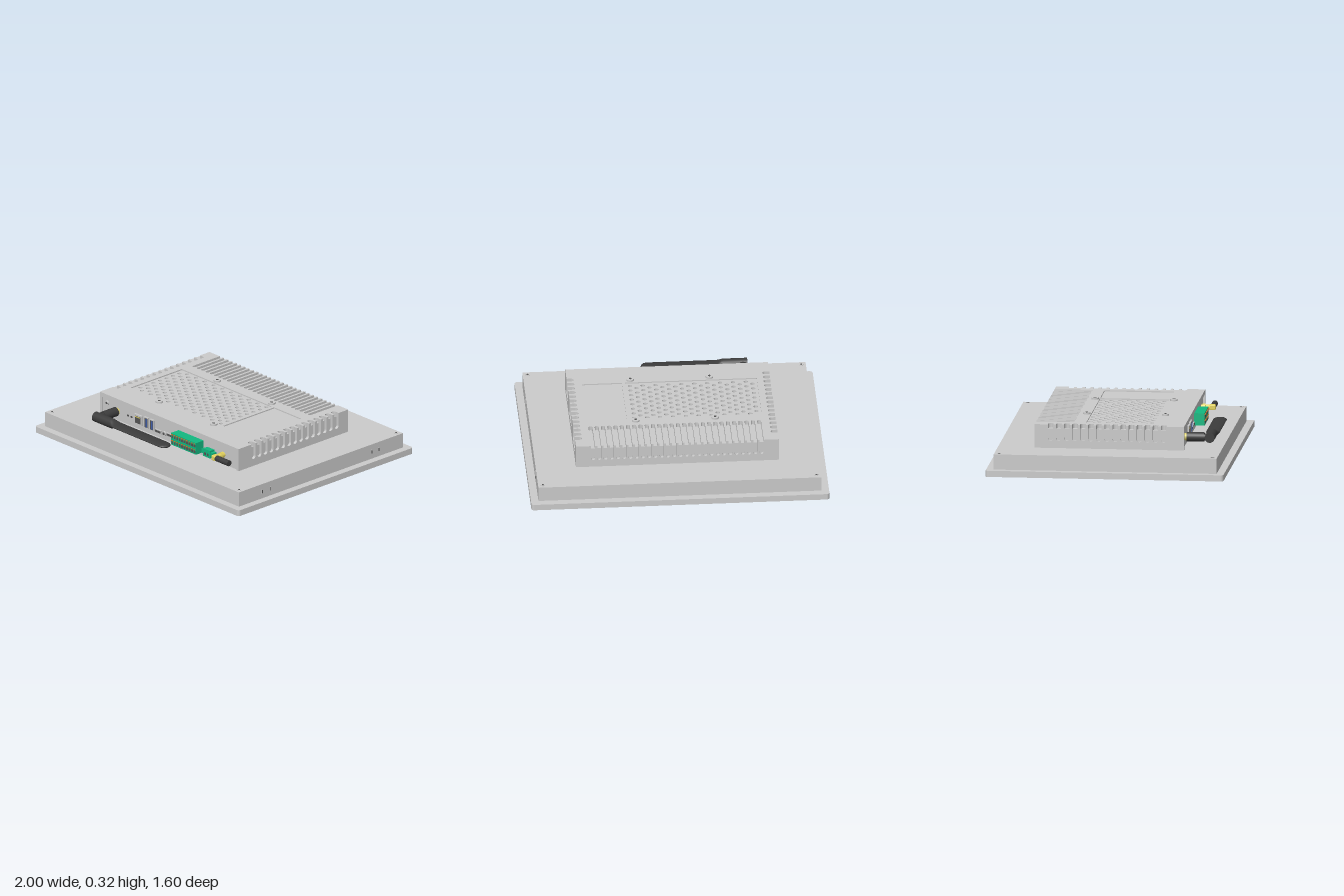
import * as THREE from 'three';
import { RoundedBoxGeometry } from 'three/addons/geometries/RoundedBoxGeometry.js';

const mat = (color) => new THREE.MeshStandardMaterial({ color });
const GREY = mat(0xcccccc), DARK = mat(0x3c3c3c), GREEN = mat(0x12b880);
const GOLD = mat(0xe6d560), BLUE = mat(0x4060b0), BLACK = mat(0x555555), ORANGE = mat(0xc07830);
const W = 0.68, D = 0.502;            // half width and half depth of the rear housing
const Y0 = 0.145, Y1 = 0.305;         // housing bottom and top
const TOP = 0.03, WALL = 0.02;        // thickness of the housing shell
const backSlots = Array.from({ length: 28 }, (_, i) => -0.5655 + i * 0.0419);
const sideSlots = Array.from({ length: 15 }, (_, i) => -0.396 + i * 0.0543);

export function createModel() {
  const model = new THREE.Group();

  const add = (name, geo, material, x = 0, y = 0, z = 0) => {
    const mesh = new THREE.Mesh(geo, material);
    mesh.name = name;
    mesh.position.set(x, y, z);
    model.add(mesh);
    return mesh;
  };
  // box given by its extents
  const box = (name, m, x0, x1, y0, y1, z0, z1) =>
    add(name, new THREE.BoxGeometry(x1 - x0, y1 - y0, z1 - z0), m, (x0 + x1) / 2, (y0 + y1) / 2, (z0 + z1) / 2);
  // cylinder along an axis, centred at x, y, z
  const rod = (name, m, axis, r, len, x, y, z, sides = 24) => {
    const g = new THREE.CylinderGeometry(r, r, len, sides);
    if (axis === 'x') g.rotateZ(Math.PI / 2);
    if (axis === 'z') g.rotateX(Math.PI / 2);
    return add(name, g, m, x, y, z);
  };
  const extrude = (shape, depth) =>
    new THREE.ExtrudeGeometry(shape, { depth, bevelEnabled: false, curveSegments: 7 });
  // horizontal plate from an x/z outline, with its upper face at y
  const plate = (name, shape, thick, y, m = GREY) =>
    add(name, extrude(shape, thick).rotateX(Math.PI / 2), m, 0, y, 0);
  const rectPath = (x0, x1, y0, y1) => new THREE.Path([[x0, y0], [x0, y1], [x1, y1], [x1, y0]].map((p) => new THREE.Vector2(...p)));
  const ring = (x, y, r) => new THREE.Path().absarc(x, y, r, 0, Math.PI * 2, true);
  // round-ended notch cut inward from an outline edge that runs along (dx, dy)
  const notch = (pts, px, py, dx, dy, depth, w) => {
    const put = (a, n) => pts.push(new THREE.Vector2(px + dx * a - dy * n, py + dy * a + dx * n));
    put(-w, 0);
    for (let k = 0; k <= 8; k++) {
      const a = (k / 8) * Math.PI;
      put(-w * Math.cos(a), depth - w + w * Math.sin(a));
    }
    put(w, 0);
  };

  // front bezel with rounded corners, and screen face
  const b = new THREE.Shape(), r = 0.02;
  b.absarc(1 - r, 0.8 - r, r, 0, Math.PI / 2);
  b.absarc(-1 + r, 0.8 - r, r, Math.PI / 2, Math.PI);
  b.absarc(-1 + r, -0.8 + r, r, Math.PI, Math.PI * 1.5);
  b.absarc(1 - r, -0.8 + r, r, Math.PI * 1.5, Math.PI * 2);
  plate('bezel', b, 0.042, 0.042);

  // chassis with corner screws and side slots
  box('chassis', GREY, -0.95, 0.95, 0.042, Y0, -0.75, 0.75);
  for (const x of [-0.918, 0.918]) for (const z of [-0.718, 0.718]) {
    rod('chassisScrew', GREY, 'y', 0.015, 0.004, x, Y0 + 0.001, z, 16);
    rod('chassisScrewSocket', BLACK, 'y', 0.008, 0.004, x, Y0 + 0.002, z, 6);
  }
  for (const z of [0.535, 0.465, -0.465, -0.532]) {
    box('sideSlotFrame', GREY, 0.948, 0.9515, 0.074, 0.107, z - 0.007, z + 0.007);
    box('sideSlot', BLACK, 0.948, 0.952, 0.079, 0.102, z - 0.004, z + 0.004);
  }

  // housing core behind the slotted shell
  box('housingCore', GREY, -W + WALL, W - WALL, Y0, Y1 - TOP, -D + WALL, D - 0.012);

  // housing top: notched outline shared by the window layer and the perforated layer
  const outline = () => {
    const p = [new THREE.Vector2(-W, -D)];
    backSlots.forEach((x) => notch(p, x, -D, 1, 0, 0.257, 0.0135));
    p.push(new THREE.Vector2(W, -D));
    sideSlots.forEach((z) => notch(p, W, z, 0, 1, 0.047, 0.018));
    p.push(new THREE.Vector2(W, D), new THREE.Vector2(-W, D));
    [...sideSlots].reverse().forEach((z) => notch(p, -W, z, 0, -1, 0.047, 0.018));
    return new THREE.Shape(p);
  };
  const upper = outline(), lower = outline();
  upper.holes.push(rectPath(-0.59, 0.293, -0.165, 0.303), rectPath(0.315, 0.582, -0.165, 0.303));
  for (let c = 0; c < 20; c++) for (let k = 0; k < 8; k++) {
    const z = -0.143 + k * 0.0592 + (c % 2 ? 0 : 0.0296);
    if (z < 0.29) lower.holes.push(ring(-0.558 + c * 0.0432, z, 0.0145));
  }
  plate('housingTop', upper, 0.008, Y1);
  plate('perforatedPlate', lower, TOP - 0.008, Y1 - 0.008);

  // slotted housing walls
  const wall = (half, slots, w) => {
    const p = [[-half, Y0], [half, Y0], [half, Y1 - TOP]].map((q) => new THREE.Vector2(...q));
    [...slots].sort((m, n) => n - m).forEach((u) => notch(p, u, Y1 - TOP, -1, 0, 0.08, w));
    p.push(new THREE.Vector2(-half, Y1 - TOP));
    return extrude(new THREE.Shape(p), WALL);
  };
  const sideWall = wall(D, sideSlots.map((z) => -z), 0.018).rotateY(Math.PI / 2);
  add('leftWall', sideWall, GREY, W - WALL);
  add('rightWall', sideWall, GREY, -W);
  add('backWall', wall(W - WALL, backSlots, 0.0135), GREY, 0, 0, -D);

  // cover screws on the housing top
  for (const x of [-0.275, 0.257]) for (const z of [-0.195, 0.335]) {
    rod('coverScrew', GREY, 'y', 0.025, 0.014, x, Y1 + 0.005, z);
    rod('coverScrewSocket', BLACK, 'y', 0.01, 0.004, x, Y1 + 0.0115, z, 6);
  }

  // ports on the connector face
  const F = D - 0.012;
  rod('groundScrew', GREY, 'z', 0.016, 0.01, -0.618, 0.24, F + 0.003);
  rod('groundScrewSocket', BLACK, 'z', 0.008, 0.004, -0.618, 0.24, F + 0.007, 6);
  for (const x of [-0.415, -0.38]) rod('indicator', BLACK, 'z', 0.008, 0.004, x, 0.21, F + 0.001, 12);
  box('networkPort', GREY, -0.345, -0.27, 0.18, 0.25, F, F + 0.012);
  box('networkSocket', BLACK, -0.335, -0.28, 0.188, 0.238, F, F + 0.0135);
  box('networkContacts', GOLD, -0.33, -0.285, 0.23, 0.236, F, F + 0.0145);
  for (const x of [-0.228, -0.172]) {
    box('usbPort', GREY, x - 0.02, x + 0.02, 0.178, 0.256, F, F + 0.012);
    box('usbSocket', BLACK, x - 0.014, x + 0.014, 0.184, 0.25, F, F + 0.0135);
    box('usbTongue', BLUE, x - 0.002, x + 0.01, 0.188, 0.246, F, F + 0.015);
  }
  box('videoPort', GREY, -0.145, -0.085, 0.175, 0.2, F, F + 0.008);
  box('videoSocket', BLACK, -0.139, -0.091, 0.18, 0.195, F, F + 0.0095);
  rod('audioPort', GREY, 'z', 0.018, 0.012, -0.058, 0.19, F + 0.004);
  rod('audioSocket', BLACK, 'z', 0.01, 0.004, -0.058, 0.19, F + 0.009, 16);
  box('smallPort', GREY, -0.035, 0.04, 0.182, 0.206, F, F + 0.008);
  box('smallSocket', BLACK, -0.028, 0.033, 0.187, 0.201, F, F + 0.0095);

  // large terminal block: body, two stepped rows of wire holes and screws
  box('terminalBlock', GREEN, 0.08, 0.325, 0.172, 0.256, F, 0.56);
  for (let i = 0; i < 10; i++) {
    const x = 0.0935 + i * 0.0242;
    for (const y of [0.193, 0.235]) {
      box('terminalHole', BLACK, x - 0.008, x + 0.008, y - 0.012, y + 0.006, 0.555, 0.5615);
      box('terminalClamp', ORANGE, x - 0.006, x + 0.006, y + 0.009, y + 0.015, 0.555, 0.566);
    }
  }
  // small power terminal
  box('powerTerminal', GREEN, 0.362, 0.43, 0.168, 0.222, F, 0.53);
  box('powerTerminalFlange', GREEN, 0.34, 0.452, 0.184, 0.21, F, 0.525);
  for (const x of [0.382, 0.41]) box('powerHole', BLACK, x - 0.008, x + 0.008, 0.18, 0.198, 0.525, 0.5315);

  // short connector with a cap
  rod('connectorPost', GOLD, 'z', 0.017, 0.07, 0.522, 0.215, 0.522);
  rod('connectorCollar', GOLD, 'z', 0.024, 0.02, 0.522, 0.215, 0.51, 6);
  add('connectorElbow', new RoundedBoxGeometry(0.036, 0.036, 0.042, 2, 0.006), GOLD, 0.522, 0.215, 0.568);
  rod('connectorCap', DARK, 'x', 0.02, 0.122, 0.6, 0.215, 0.569);

  // swivel antenna
  const AY = 0.21, AZ = 0.661;
  rod('antennaNut', GOLD, 'z', 0.025, 0.02, -0.52, AY, 0.498, 6);
  rod('antennaPost', DARK, 'z', 0.032, 0.118, -0.52, AY, 0.564);
  rod('antennaPivot', DARK, 'z', 0.024, 0.05, -0.52, AY, 0.635);
  rod('antennaHinge', DARK, 'x', 0.034, 0.164, -0.47, AY, AZ);

  // paddle: a cylinder flattened after the neck and rounded at the tip
  const x0 = -0.39, x1 = 0.163, rz = 0.046;
  const paddle = new THREE.CylinderGeometry(1, 1, 1, 24, 60).rotateZ(-Math.PI / 2);
  const pos = paddle.attributes.position;
  for (let i = 0; i < pos.count; i++) {
    const x = x0 + (pos.getX(i) + 0.5) * (x1 - x0);
    const s = THREE.MathUtils.smoothstep(x, x0, -0.335);
    const t = Math.max(0, (x - (x1 - rz)) / rz);
    const tip = Math.sqrt(Math.max(0.0004, 1 - t * t));
    pos.setXYZ(i, x, pos.getY(i) * THREE.MathUtils.lerp(0.034, 0.014, s) * Math.sqrt(tip),
      pos.getZ(i) * THREE.MathUtils.lerp(0.034, rz, s) * tip);
  }
  paddle.computeVertexNormals();
  add('antennaPaddle', paddle, DARK, 0, AY, AZ);

  return model;
}
